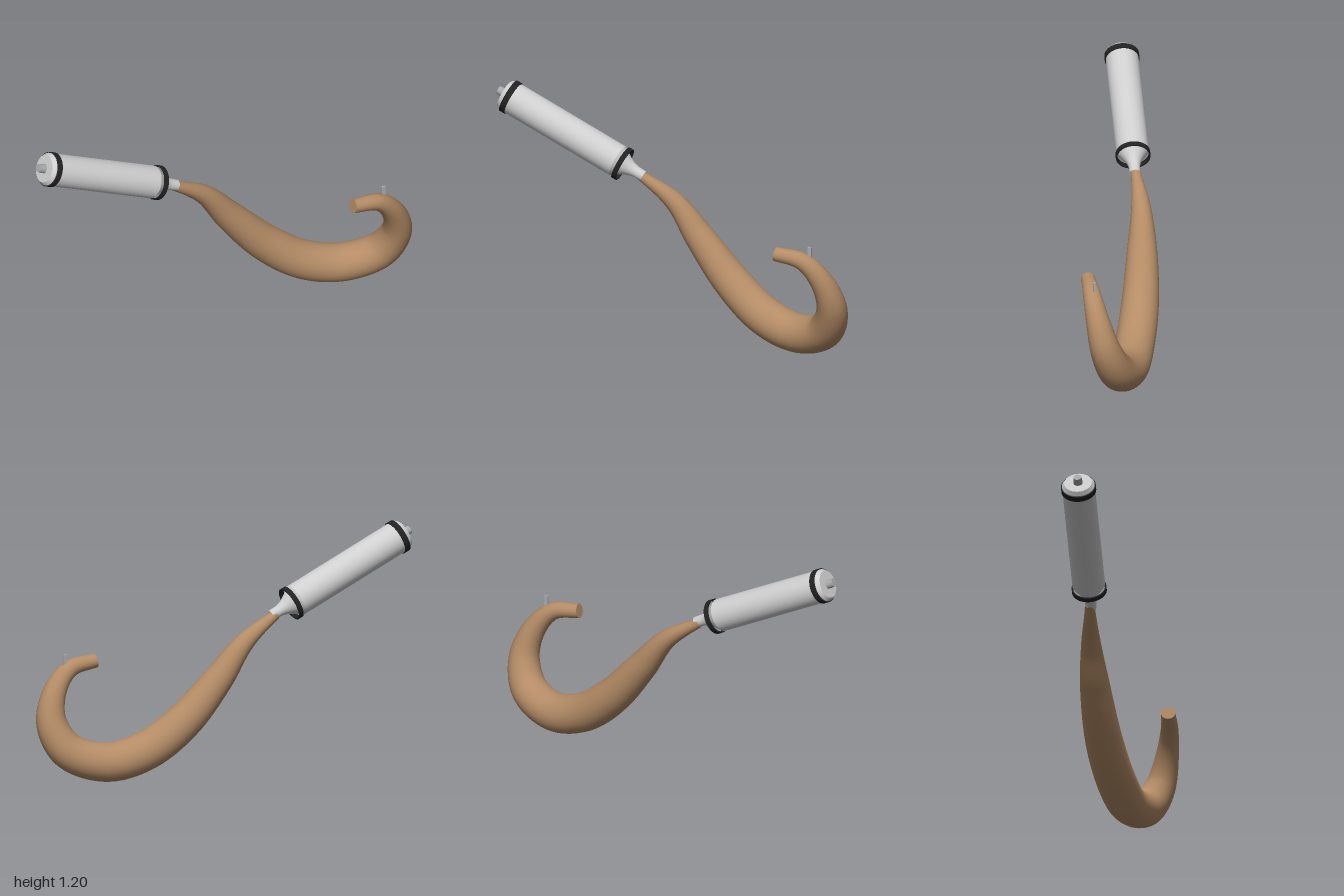
import * as THREE from 'three';

const material = (name, color) => {
  const m = new THREE.MeshStandardMaterial({ color });
  m.name = name;
  return m;
};

function addMesh(parent, name, geometry, mat) {
  const mesh = new THREE.Mesh(geometry, mat);
  mesh.name = name;
  parent.add(mesh);
  return mesh;
}

// Centreline stations of the curved handle: x, y, z, radius
const STATIONS = [
  [-0.235, 0.795, -0.115, 0.025],
  [-0.05, 0.67, -0.133, 0.05],
  [0.09, 0.50, -0.131, 0.076],
  [0.275, 0.295, -0.112, 0.094],
  [0.47, 0.153, -0.075, 0.1],
  [0.67, 0.103, -0.032, 0.099],
  [0.85, 0.165, 0.035, 0.093],
  [0.915, 0.305, 0.095, 0.078],
  [0.88, 0.45, 0.133, 0.06],
  [0.785, 0.556, 0.158, 0.045],
  [0.637, 0.583, 0.17, 0.036],
];

// Tube whose radius follows the stations
function taperedTube(curve, radii, steps, sides) {
  const g = new THREE.TubeGeometry(curve, steps, 1, sides, false);
  const pos = g.attributes.position;
  const nor = g.attributes.normal;
  for (let i = 0; i <= steps; i++) {
    const u = i / steps;
    const p = curve.getPointAt(u);
    const r = radii.getPoint(curve.getUtoTmapping(u)).y;
    for (let j = 0; j <= sides; j++) {
      const k = i * (sides + 1) + j;
      pos.setXYZ(k, p.x + nor.getX(k) * r, p.y + nor.getY(k) * r, p.z + nor.getZ(k) * r);
    }
  }
  return g;
}

// Flat band around the local y axis
function bandGeometry(inner, outer, width) {
  const shape = new THREE.Shape().absarc(0, 0, outer, 0, Math.PI * 2, false);
  shape.holes.push(new THREE.Path().absarc(0, 0, inner, 0, Math.PI * 2, true));
  const g = new THREE.ExtrudeGeometry(shape, { depth: width, bevelEnabled: false, curveSegments: 32 });
  return g.translate(0, 0, -width / 2).rotateX(-Math.PI / 2);
}

const lathe = (points) => new THREE.LatheGeometry(points.map(([r, y]) => new THREE.Vector2(r, y)), 48);

export function createModel() {
  const model = new THREE.Group();
  model.name = 'hookedTool';
  const wood = material('wood', 0xb48c66);
  const metal = material('light metal', 0xcfcfcf);
  const steel = material('grey steel', 0xa8aaac);
  const black = material('black rubber', 0x222222);

  // Curved wooden handle with closed ends
  const handle = new THREE.Group();
  handle.name = 'curvedHandle';
  model.add(handle);
  const curve = new THREE.CatmullRomCurve3(STATIONS.map(([x, y, z]) => new THREE.Vector3(x, y, z)));
  const radii = new THREE.SplineCurve(STATIONS.map((s, i) => new THREE.Vector2(i, s[3])));
  addMesh(handle, 'handleShaft', taperedTube(curve, radii, 120, 32), wood);
  for (const [u, sign, name] of [[0, -1, 'handleStartCap'], [1, 1, 'handleTipCap']]) {
    const cap = addMesh(handle, name, new THREE.CircleGeometry(radii.getPoint(u).y, 32), wood);
    cap.position.copy(curve.getPointAt(u));
    cap.quaternion.setFromUnitVectors(
      new THREE.Vector3(0, 0, 1), curve.getTangentAt(u).multiplyScalar(sign));
  }

  // Small pin on top of the hook
  const pin = addMesh(model, 'pin', new THREE.BoxGeometry(0.02, 0.06, 0.011), steel);
  pin.position.set(0.817, 0.606, 0.148);

  // Metal canister: local +y runs along its axis towards the handle
  const canister = new THREE.Group();
  canister.name = 'canister';
  canister.position.set(-0.325, 0.842, -0.107);
  canister.quaternion.setFromUnitVectors(
    new THREE.Vector3(0, 1, 0), new THREE.Vector3(0.605, -0.278, -0.024).normalize());
  model.add(canister);

  addMesh(canister, 'canisterBody', lathe([[0.083, -0.685], [0.083, -0.03]]), metal);
  addMesh(canister, 'canisterNeck', lathe([
    [0.083, -0.03], [0.063, 0.0], [0.045, 0.03], [0.034, 0.056], [0.029, 0.08], [0.027, 0.125],
  ]), metal);
  addMesh(canister, 'endBevel', lathe([[0.07, -0.703], [0.083, -0.685]]), metal);
  addMesh(canister, 'endPlate', lathe([[0, -0.703], [0.07, -0.703]]), metal);

  // End knob
  const knob = addMesh(canister, 'endKnob', new THREE.CylinderGeometry(0.024, 0.021, 0.04, 24), steel);
  knob.position.y = -0.72;

  // Black bands at both ends
  addMesh(canister, 'rearBand', bandGeometry(0.081, 0.088, 0.03), black).position.y = -0.666;
  addMesh(canister, 'frontBand', bandGeometry(0.081, 0.088, 0.025), black);

  return model;
}
